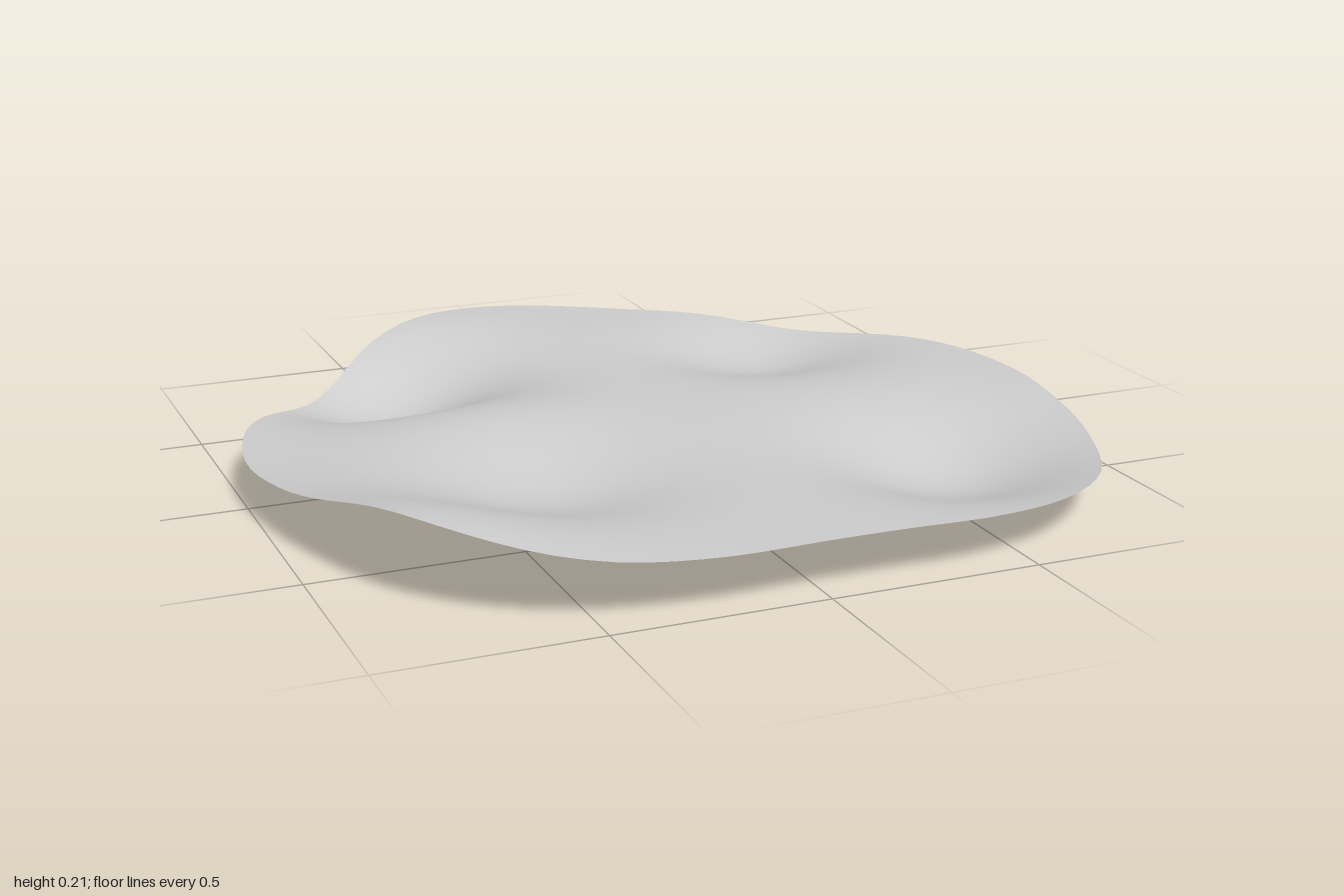
import * as THREE from 'three';

// Rounded outline of the sheet, as [x, z]
const OUTLINE = [
  [-0.02, -1], [0.2, -0.95], [0.42, -0.82], [0.64, -0.63], [0.83, -0.43], [0.94, -0.22],
  [0.99, 0.05], [0.97, 0.3], [0.92, 0.53], [0.8, 0.77], [0.61, 0.92], [0.4, 0.98],
  [0.2, 0.985], [0, 0.988], [-0.25, 0.997], [-0.5, 0.965], [-0.69, 0.88], [-0.82, 0.75],
  [-0.92, 0.48], [-0.98, 0.2], [-0.995, -0.02], [-0.94, -0.25], [-0.81, -0.44],
  [-0.62, -0.66], [-0.45, -0.83], [-0.22, -0.96],
];

// Hollows and swells: x, z, height, spread in x, spread in z
const WAVES = [
  [0.55, 0.53, -0.117, 0.21, 0.2],
  [-0.52, -0.49, -0.13, 0.2, 0.165],
  [0.5, -0.43, -0.085, 0.2, 0.17],
  [-0.43, 0.43, -0.062, 0.2, 0.17],
  [-0.86, 0.73, 0.085, 0.26, 0.24],
  [-0.4, -0.04, 0.025, 0.22, 0.15],
  [-1, -0.05, -0.022, 0.22, 0.25],
  [-0.3, -0.9, 0.022, 0.18, 0.15],
  [0.3, -0.92, -0.015, 0.18, 0.15],
];

function heightAt(x, z) {
  let y = 0.127;
  for (const [cx, cz, h, sx, sz] of WAVES) {
    y += h * Math.exp(-0.5 * (((x - cx) / sx) ** 2 + ((z - cz) / sz) ** 2));
  }
  return Math.max(0, y);
}

// Concentric rings from the middle out to the outline
function sheetGeometry(rings, segments) {
  const curve = new THREE.CatmullRomCurve3(
    OUTLINE.map(([x, z]) => new THREE.Vector3(x, 0, z)), true, 'centripetal');
  const edge = curve.getSpacedPoints(segments).slice(0, segments);
  const positions = [0, heightAt(0, 0), 0];
  const indices = [];
  const at = (ring, i) => 1 + (ring - 1) * segments + (i % segments);
  for (let r = 1; r <= rings; r++) {
    for (const p of edge) {
      const x = p.x * r / rings, z = p.z * r / rings;
      positions.push(x, heightAt(x, z), z);
    }
    for (let i = 0; i < segments; i++) {
      if (r === 1) {
        indices.push(0, at(1, i + 1), at(1, i));
      } else {
        const a = at(r - 1, i), b = at(r - 1, i + 1), c = at(r, i), d = at(r, i + 1);
        indices.push(a, b, c, b, d, c);
      }
    }
  }
  const geometry = new THREE.BufferGeometry();
  geometry.setAttribute('position', new THREE.Float32BufferAttribute(positions, 3));
  geometry.setIndex(indices);
  geometry.computeVertexNormals();
  return geometry;
}

export function createModel() {
  const group = new THREE.Group();
  group.name = 'wavySheet';
  const grey = new THREE.MeshStandardMaterial({ color: 0xcccccc, side: THREE.DoubleSide });
  grey.name = 'light grey';
  const sheet = new THREE.Mesh(sheetGeometry(28, 104), grey);
  sheet.name = 'sheet';
  group.add(sheet);
  return group;
}
